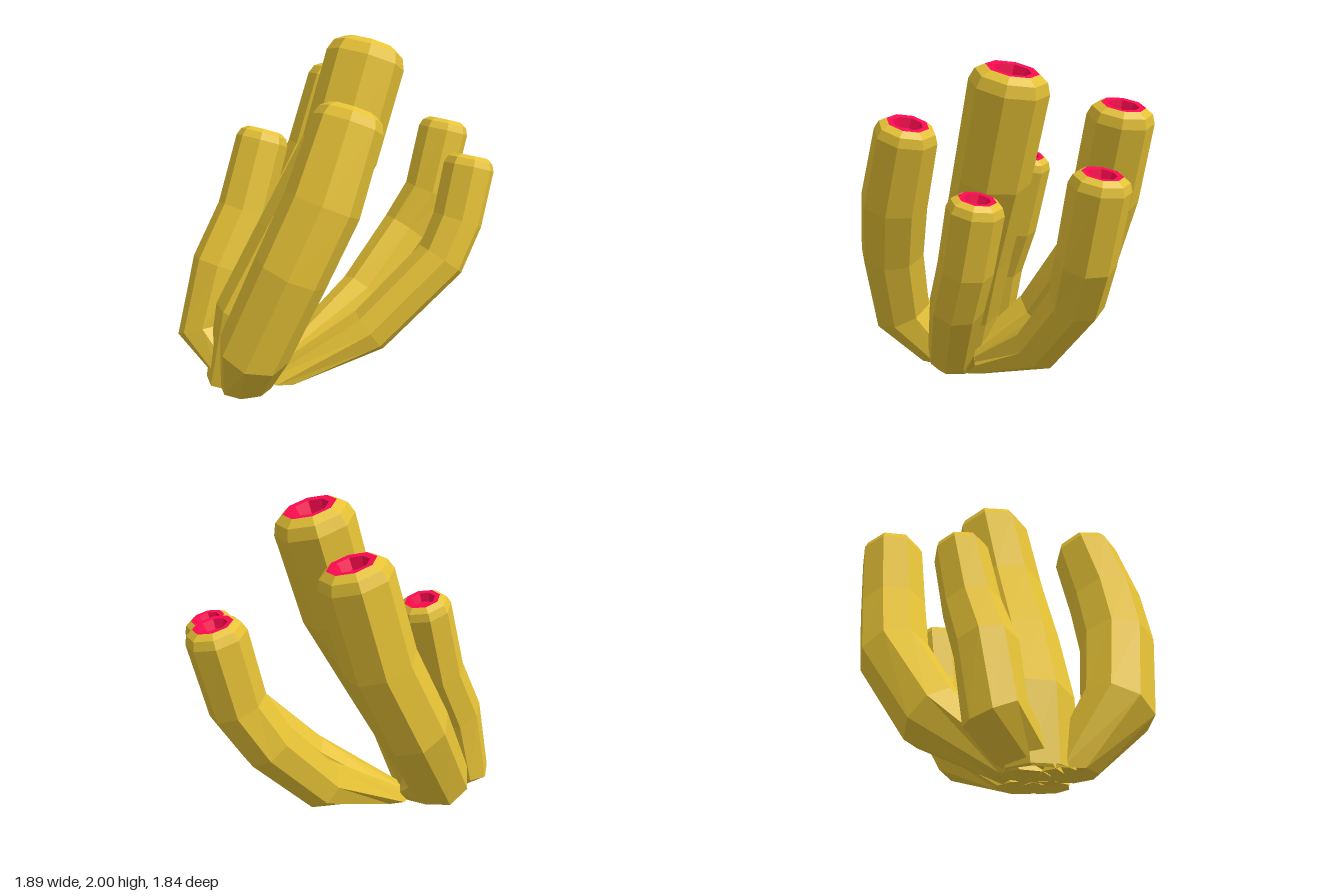
import * as THREE from 'three';

const SIDES = 8;
const skin = new THREE.MeshStandardMaterial({ color: 0xe6c236, flatShading: true });
const mouth = new THREE.MeshStandardMaterial({ color: 0xff0a50, flatShading: true });

// Each tube: five ring centres [x, y, z, radius] from the foot to the shoulder
const tubes = [
  { name: 'centreTube', rings: [[-0.56, 0, 0.35, 0.185], [-0.47, 0.37, 0.3, 0.225], [-0.235, 0.82, 0.18, 0.23], [0.03, 1.33, 0.025, 0.235], [0.17, 1.85, -0.1, 0.237]] },
  { name: 'backRightTube', rings: [[-0.5, 0, 0.25, 0.15], [-0.565, 0.33, -0.2, 0.19], [-0.375, 0.79, -0.52, 0.205], [-0.18, 1.2, -0.635, 0.205], [-0.05, 1.665, -0.72, 0.2]] },
  { name: 'rightTube', rings: [[-0.55, 0, 0.32, 0.15], [-0.783, 0.24, 0.195, 0.168], [-0.69, 0.63, 0.12, 0.172], [-0.56, 0.94, 0, 0.165], [-0.46, 1.355, -0.105, 0.16]] },
  { name: 'leftTube', rings: [[-0.28, 0, 0.32, 0.13], [0.225, 0.285, 0.24, 0.14], [0.64, 0.695, 0.1, 0.15], [0.735, 0.92, 0.03, 0.15], [0.795, 1.23, -0.035, 0.152]] },
  { name: 'backLeftTube', rings: [[-0.31, 0, 0.2, 0.13], [0.15, 0.33, -0.28, 0.15], [0.43, 0.7, -0.525, 0.16], [0.58, 0.95, -0.58, 0.165], [0.665, 1.35, -0.65, 0.165]] },
  { name: 'frontTube', rings: [[-0.48, 0, 0.48, 0.15], [-0.375, 0.355, 0.725, 0.2], [-0.17, 0.8, 0.72, 0.205], [-0.01, 1.15, 0.65, 0.21], [0.115, 1.56, 0.53, 0.195]] },
];

// Corner points of an octagon of radius r around c, facing along t, starting near u
function ring(c, t, u, r) {
  const v = new THREE.Vector3().crossVectors(t, u);
  return Array.from({ length: SIDES }, (_, i) => {
    const a = (i / SIDES) * Math.PI * 2 + 0.12;
    return c.clone().addScaledVector(u, r * Math.cos(a)).addScaledVector(v, r * Math.sin(a));
  });
}

// Skin over successive rings, closing the first or last with a fan
function loft(rings, capStart, capEnd) {
  const pts = [];
  const centre = (r) => r.reduce((s, p) => s.add(p), new THREE.Vector3()).divideScalar(SIDES);
  for (let i = 0; i < SIDES; i++) {
    const j = (i + 1) % SIDES;
    for (let k = 0; k + 1 < rings.length; k++) {
      const a = rings[k], b = rings[k + 1];
      pts.push(a[i], a[j], b[j], a[i], b[j], b[i]);
    }
    const first = rings[0], last = rings[rings.length - 1];
    if (capStart) pts.push(first[j], first[i], centre(first));
    if (capEnd) pts.push(last[i], last[j], centre(last));
  }
  const g = new THREE.BufferGeometry().setFromPoints(pts);
  g.computeVertexNormals();
  return g;
}

function makeTube({ name, rings }) {
  const centres = rings.map((r) => new THREE.Vector3(r[0], r[1], r[2]));
  const top = centres.length - 1;
  const step = (i) => centres[i + 1].clone().sub(centres[i]).normalize();
  const axis = step(top - 1), R = rings[top][3];
  const side = new THREE.Vector3(1, 0, 0).projectOnPlane(axis).normalize();

  // Carry the side direction down from the top so the long faces do not twist
  const body = [];
  const u = side.clone();
  for (let i = top; i >= 0; i--) {
    let t = axis;
    if (i === 0) t = new THREE.Vector3(0, 1, 0); // the foot lies flat on the ground
    else if (i < top) t = step(i - 1).add(step(i)).normalize();
    u.projectOnPlane(t).normalize();
    body.unshift(ring(centres[i], t, u, rings[i][3]));
    // hollow under the foot
    if (i === 0) body.unshift(ring(centres[0].clone().setY(0.03), t, u, rings[0][3] * 0.6));
  }

  // Rounded shoulder and coloured mouth, in proportion to the top radius
  const at = (h, r) => ring(centres[top].clone().addScaledVector(axis, h * R), axis, side, r * R);
  const rim = at(0.43, 0.66);
  body.push(at(0.28, 0.89), rim);

  const group = new THREE.Group();
  group.name = name;
  const stalk = new THREE.Mesh(loft(body, true, false), skin);
  stalk.name = 'stalk';
  const opening = new THREE.Mesh(loft([rim, at(0.42, 0.47), at(0.12, 0.37)], false, true), mouth);
  opening.name = 'mouth';
  group.add(stalk, opening);
  return group;
}

export function createModel() {
  const model = new THREE.Group();
  model.name = 'tubeSponge';
  for (const tube of tubes) model.add(makeTube(tube));
  return model;
}
